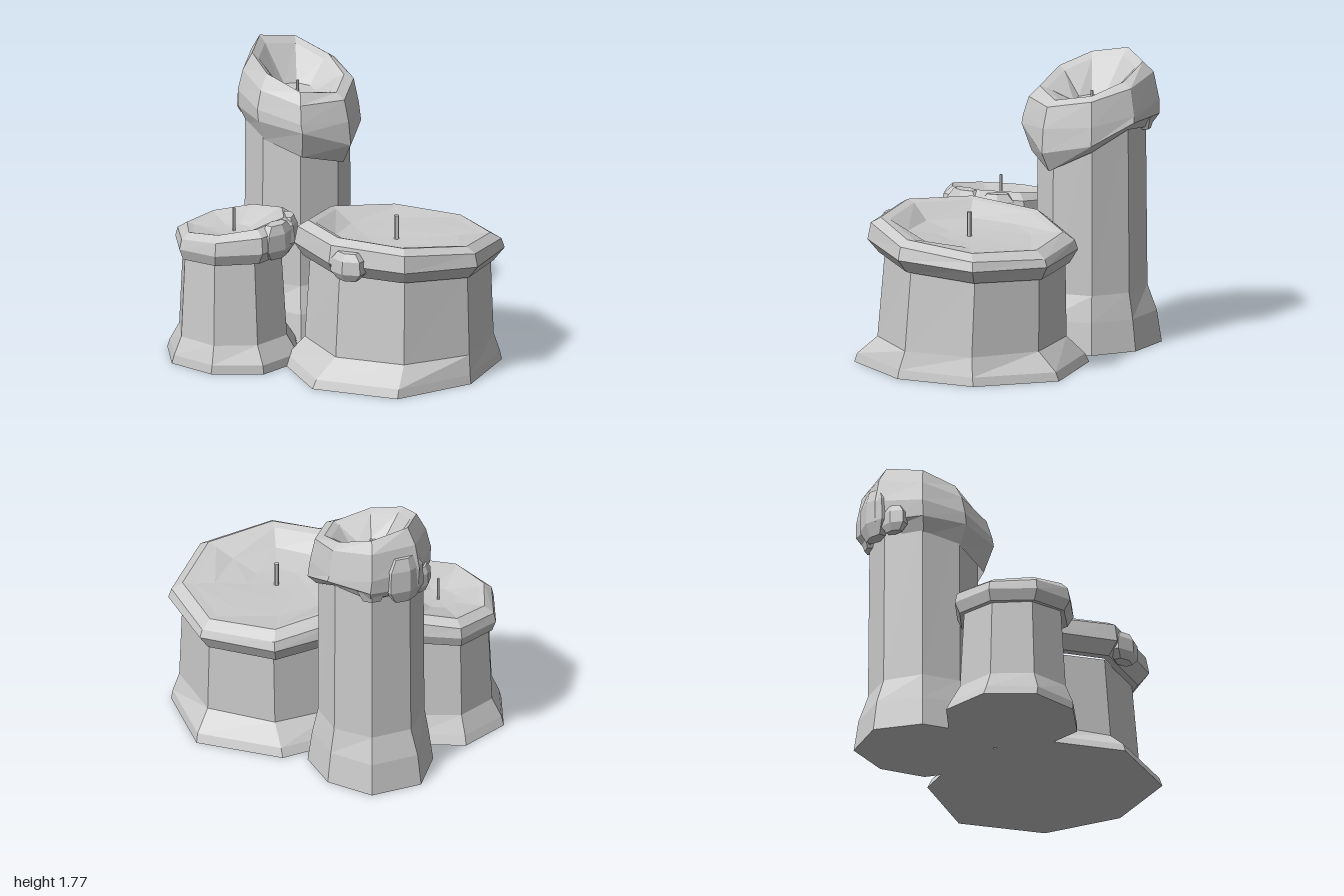
import * as THREE from 'three';

const SIDES = 8;
const wax = new THREE.MeshStandardMaterial({ color: 0xcccccc, flatShading: true });

// Skin a stack of octagonal rings. Each ring: height y, radius r, slopes sx / sz that
// tilt it, centre shift dx / dz, optional per-corner height offsets dy and radius factors k.
// Corners run from the front towards +x.
function loft(rings, turn) {
  const pos = [], index = [];
  for (const { y, r, sx = 0, sz = 0, dx = 0, dz = 0, dy, k } of rings) {
    for (let i = 0; i < SIDES; i++) {
      const a = turn + (i / SIDES) * Math.PI * 2, rad = r * (k ? k[i] : 1);
      const x = Math.sin(a) * rad, z = Math.cos(a) * rad;
      pos.push(x + dx, y + x * sx + z * sz + (dy ? dy[i] : 0), z + dz);
    }
  }
  for (let n = 0; n < rings.length - 1; n++) {
    for (let i = 0; i < SIDES; i++) {
      const j = (i + 1) % SIDES, a = n * SIDES, b = a + SIDES;
      if (rings[n].r > 0) index.push(a + i, a + j, b + j);
      if (rings[n + 1].r > 0) index.push(a + i, b + j, b + i);
    }
  }
  const g = new THREE.BufferGeometry();
  g.setAttribute('position', new THREE.Float32BufferAttribute(pos, 3));
  g.setIndex(index);
  const flat = g.toNonIndexed();
  flat.computeVertexNormals();
  return flat;
}

function add(group, name, geometry) {
  const mesh = new THREE.Mesh(geometry, wax);
  mesh.name = name;
  group.add(mesh);
  return mesh;
}

// A lump of run wax hanging from the rim, facing outward at the given angle
function drip(group, angle, dist, top, bottom, width, depth) {
  const h = top - bottom;
  const profile = [[0, 0], [0.6, 0.03], [1, 0.3], [0.95, 0.75], [0.6, 1], [0, 1]];
  const g = new THREE.LatheGeometry(profile.map(([r, y]) => new THREE.Vector2(r, y * h)), 6);
  g.scale(width / 2, 1, depth / 2);
  const mesh = add(group, 'waxDrip', g);
  mesh.position.set(Math.sin(angle) * dist, bottom, Math.cos(angle) * dist);
  mesh.rotation.y = angle;
}

function candle(name, x, z, turn, stem, head, wick) {
  const group = new THREE.Group();
  group.name = name;
  group.position.set(x, 0, z);
  add(group, 'stem', loft([{ ...stem[0], r: 0 }, ...stem], turn));
  add(group, 'meltedHead', loft(head, turn));
  const w = add(group, 'wick', new THREE.CylinderGeometry(wick.r, wick.r, wick.top - wick.bottom, 6));
  w.position.y = (wick.top + wick.bottom) / 2;
  return group;
}

export function createModel() {
  const model = new THREE.Group();
  model.name = 'candleCluster';
  const half = Math.PI / 8;

  // Wide candle, its foot spreading to front and back
  const foot = [1.08, 0.97, 1, 1.1, 1.05, 1, 0.99, 1.07];
  const wide = candle('wideCandle', 0.4, 0.09, half, [
    { y: 0.005, r: 0.665, dx: -0.035, dz: -0.01, k: foot },
    { y: 0.06, r: 0.645, dx: -0.025, dz: -0.01, k: foot },
    { y: 0.175, r: 0.57, dx: 0.01, dz: -0.02 },
    { y: 0.66, r: 0.545, dx: 0.01, dz: -0.04, sz: 0.06 },
  ], [
    { y: 0.66, r: 0.53, sz: 0.07, sx: -0.02, dz: -0.03 },
    { y: 0.66, r: 0.575, sz: 0.07, sx: -0.02, dz: -0.03 },
    { y: 0.745, r: 0.635, sz: 0.06, sx: -0.02, dx: 0.01, dz: -0.025 },
    { y: 0.825, r: 0.615, sz: 0.11, sx: -0.04, dx: 0.01, dz: -0.025 },
    { y: 0.865, r: 0.55, sz: 0.11, sx: -0.05, dx: 0.01, dz: -0.02 },
    { y: 0.855, r: 0.5, sz: 0.11, sx: -0.05, dz: -0.02 },
    { y: 0.81, r: 0.37, sz: 0.04 },
    { y: 0.795, r: 0.17 },
    { y: 0.79, r: 0 },
  ], { r: 0.016, top: 0.94, bottom: 0.78 });
  drip(wide, -0.2, 0.56, 0.87, 0.69, 0.24, 0.15);
  model.add(wide);

  // Tall candle with a slanted, sagging head, narrower across one diagonal
  const lean = [1, 1, 0.89, 0.87, 0.98, 0.98, 0.87, 0.87];
  const tall = candle('tallCandle', -0.4, -0.375, half, [
    { y: 0.005, r: 0.43, k: lean },
    { y: 0.2, r: 0.4, k: lean },
    { y: 0.36, r: 0.335, k: [1, 1, 0.96, 0.95, 1, 1, 0.96, 0.95] },
    { y: 1.45, r: 0.325, k: [1, 1, 0.97, 0.95, 1, 1, 0.97, 0.95] },
  ], [
    { y: 1.45, r: 0.3 },
    { y: 1.27, r: 0.36, dx: 0.01, k: lean, dy: [-0.08, -0.15, -0.02, 0.1, 0.07, 0.08, 0.02, -0.01] },
    { y: 1.36, r: 0.42, dx: 0.01, k: lean, dy: [0, -0.12, -0.06, 0.06, 0.06, 0.04, 0.04, 0.03] },
    { y: 1.46, r: 0.415, sx: -0.16, sz: -0.06, k: lean },
    { y: 1.6, r: 0.38, sx: -0.17, sz: -0.15, k: lean },
    { y: 1.665, r: 0.315, sx: -0.34, sz: -0.12, k: lean },
    { y: 1.64, r: 0.27, sx: -0.34, sz: -0.12, k: lean },
    { y: 1.5, r: 0.11, sx: -0.1 },
    { y: 1.49, r: 0 },
  ], { r: 0.009, top: 1.56, bottom: 1.47 });
  drip(tall, -2.15, 0.345, 1.62, 1.31, 0.28, 0.14);
  drip(tall, -1.7, 0.345, 1.48, 1.31, 0.18, 0.1);
  drip(tall, -2.75, 0.32, 1.6, 1.32, 0.2, 0.12);
  model.add(tall);

  // Small candle, its rim higher on the drip side
  const front = [0.95, 1, 1, 1, 0.97, 1, 1, 0.97];
  const small = candle('smallCandle', -0.57, 0.29, 0, [
    { y: 0.005, r: 0.425, dx: -0.005, dz: -0.01, k: front },
    { y: 0.06, r: 0.41, k: front },
    { y: 0.17, r: 0.345, dx: -0.005 },
    { y: 0.68, r: 0.315, dx: -0.01 },
  ], [
    { y: 0.67, r: 0.31, sx: 0.08 },
    { y: 0.675, r: 0.35, sx: 0.06, k: front },
    { y: 0.745, r: 0.385, sx: 0.06, dx: 0.01, k: front },
    { y: 0.825, r: 0.37, sx: 0.13, dx: 0.01, k: front },
    { y: 0.865, r: 0.31, sx: 0.16, dx: 0.01 },
    { y: 0.85, r: 0.265, sx: 0.16 },
    { y: 0.8, r: 0.11, sx: 0.04 },
    { y: 0.795, r: 0 },
  ], { r: 0.009, top: 0.94, bottom: 0.78 });
  drip(small, 1.25, 0.325, 0.91, 0.69, 0.28, 0.14);
  drip(small, 1.9, 0.325, 0.9, 0.72, 0.24, 0.12);
  model.add(small);

  return model;
}
